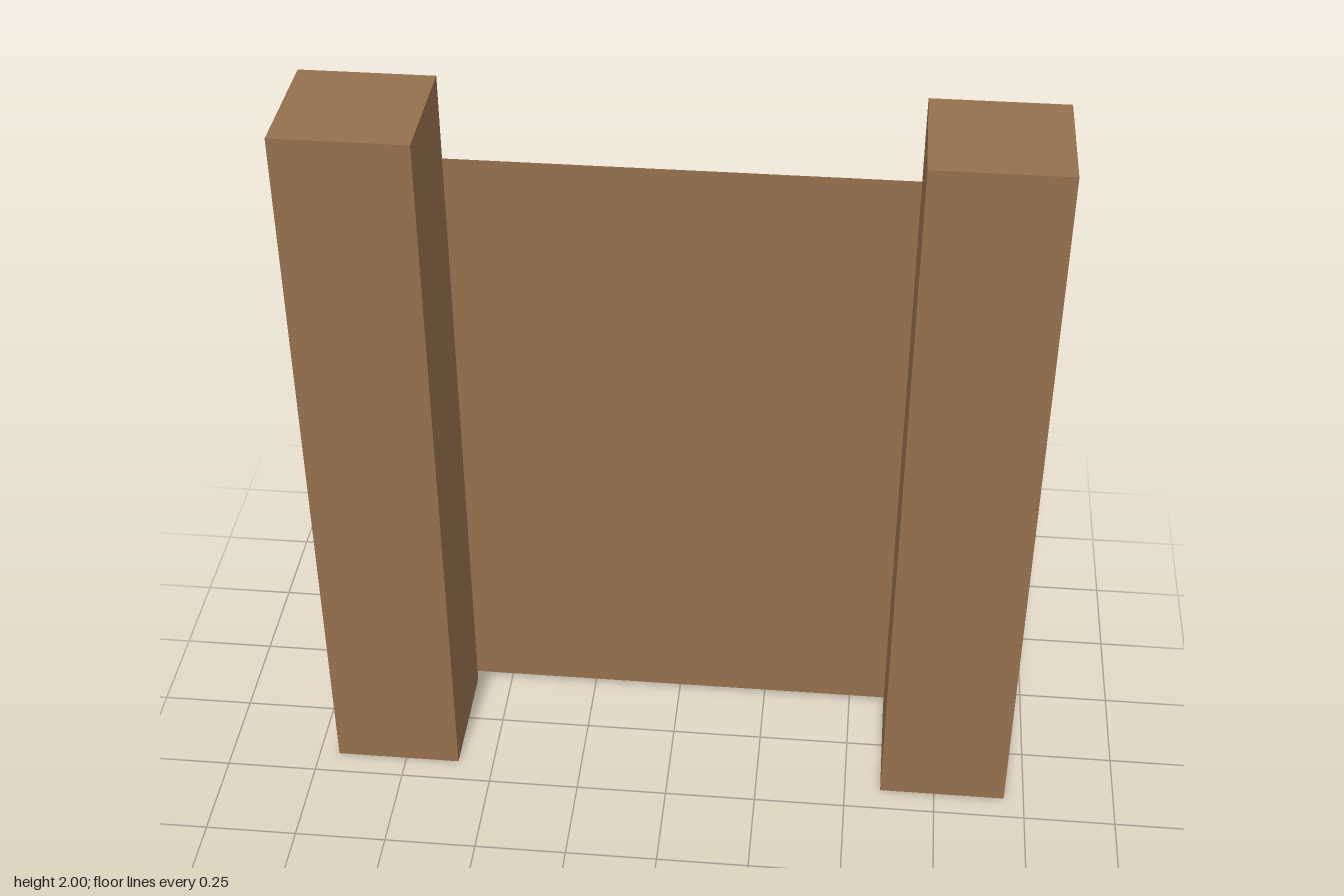
import * as THREE from 'three';

export function createModel() {
  const group = new THREE.Group();
  const wood = new THREE.MeshStandardMaterial({ color: 0x946f4d, side: THREE.DoubleSide });
  wood.name = 'brown wood';

  // Two square posts
  for (const [name, side] of [['leftPost', 1], ['rightPost', -1]]) {
    const post = new THREE.Mesh(new THREE.BoxGeometry(0.345, 2, 0.345), wood);
    post.name = name;
    post.position.set(side * 0.7725, 1, 0.0075);
    group.add(post);
  }

  // Thin sheet just behind the posts
  const panel = new THREE.Mesh(new THREE.PlaneGeometry(1.865, 1.74), wood);
  panel.name = 'backPanel';
  panel.rotation.y = Math.PI;
  panel.position.set(0, 0.89, -0.18);
  group.add(panel);

  return group;
}
